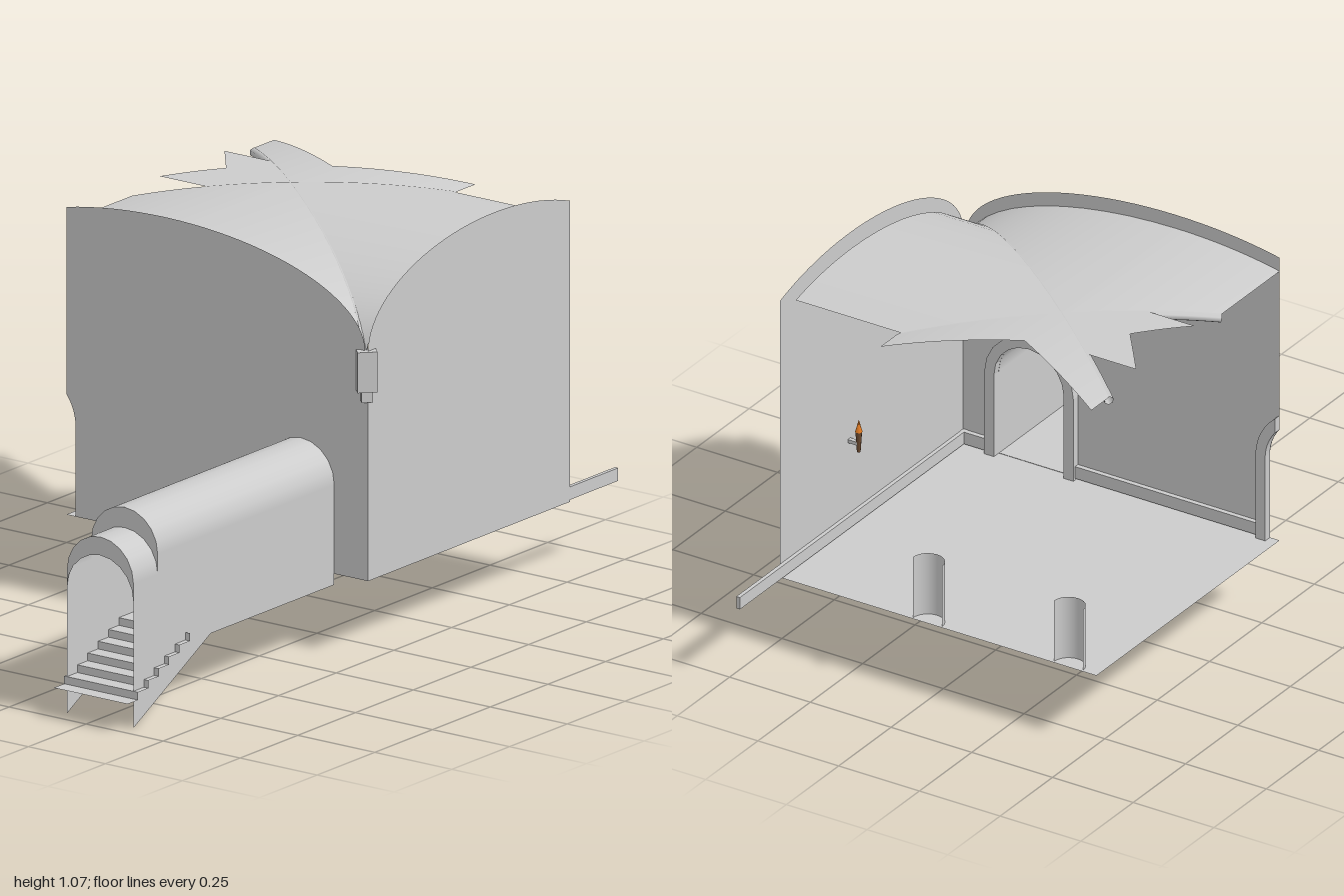
import * as THREE from 'three';

const CX = -0.18, CZ = -0.46, HX = 0.65, HZ = 0.545; // vault centre and half spans
const FLOOR = 0.205, FRONT = 0.085, BACK = -0.79, LEFT = 0.48, RIGHT = -0.5;
const grey = new THREE.MeshStandardMaterial({ color: 0xcccccc, side: THREE.DoubleSide });
const flame = new THREE.MeshStandardMaterial({ color: 0xe07a20 });
const wood = new THREE.MeshStandardMaterial({ color: 0x6b4a30 });

export function createModel() {
  const model = new THREE.Group();
  const add = (name, geo, x = 0, y = 0, z = 0, mat = grey) => {
    const mesh = new THREE.Mesh(geo, mat);
    mesh.name = name;
    mesh.position.set(x, y, z);
    model.add(mesh);
    return mesh;
  };
  const box = (name, x0, x1, y0, y1, z0, z1) =>
    add(name, new THREE.BoxGeometry(x1 - x0, y1 - y0, z1 - z0), (x0 + x1) / 2, (y0 + y1) / 2, (z0 + z1) / 2);
  const flat = (name, x0, x1, z0, z1, y) =>
    add(name, new THREE.PlaneGeometry(x1 - x0, z1 - z0).rotateX(-Math.PI / 2), (x0 + x1) / 2, y, (z0 + z1) / 2);
  const shapeOf = (pts) => new THREE.Shape(pts.map((p) => new THREE.Vector2(...p)));
  const arc = (cx, cy, rx, ry, a0, a1, n = 12) => Array.from({ length: n + 1 }, (_, i) => {
    const a = a0 + (a1 - a0) * i / n;
    return [cx + rx * Math.cos(a), cy + ry * Math.sin(a)];
  });

  // Floor
  flat('floor', RIGHT, LEFT, BACK, FRONT, FLOOR);

  // Front wall with a doorway and half of a second one at its broken edge
  const DX = 0.262, DR = 0.108, SPRING = 0.447;
  const front = shapeOf([
    [-0.47, FLOOR], [LEFT, FLOOR], [LEFT, 0.83],
    ...arc(CX, 0.83, HX, 0.243, 0, Math.PI - Math.acos(0.32 / HX), 32),
    ...arc(-0.6, 0.45, 0.13, 0.13, Math.acos(0.1 / 0.13), 0, 6),
  ]);
  front.holes.push(new THREE.Path([
    [DX + DR, FLOOR + 0.001], ...arc(DX, SPRING, DR, DR, 0, Math.PI, 10), [DX - DR, FLOOR + 0.001],
  ].map((p) => new THREE.Vector2(...p))));
  add('frontWall', new THREE.ShapeGeometry(front), 0, 0, FRONT);

  // Side wall, drawn with its first axis along -z
  const side = shapeOf([
    [-FRONT, FLOOR], [-BACK, FLOOR],
    ...arc(-CZ, 0.83, HZ, 0.243, Math.acos(0.33 / HZ), Math.PI, 32),
  ]);
  add('sideWall', new THREE.ShapeGeometry(side).rotateY(Math.PI / 2), LEFT);

  // Groin vault: each web is level across its span, so it is built of strips
  const height = (m) => 0.79 + 0.243 * Math.sqrt(Math.max(0, 1 - m * m));
  const web = (name, alongX, from, to, lo, hi) => {
    const c = alongX ? CX : CZ, h = alongX ? HX : HZ, n = 14, pos = [], idx = [];
    const a0 = Math.asin(Math.max(-1, (from - c) / h)), a1 = Math.asin(Math.min(1, (to - c) / h));
    for (let i = 0; i <= n; i++) {
      const m = Math.sin(a0 + (a1 - a0) * i / n), s = c + h * m;
      for (const t of [lo(s), hi(s)]) pos.push(alongX ? s : t, height(m), alongX ? t : s);
      const k = 2 * i;
      if (i < n) idx.push(...(alongX ? [k, k + 1, k + 2, k + 1, k + 3, k + 2] : [k, k + 2, k + 1, k + 1, k + 2, k + 3]));
    }
    const g = new THREE.BufferGeometry();
    g.setAttribute('position', new THREE.Float32BufferAttribute(pos, 3));
    g.setIndex(idx);
    g.computeVertexNormals();
    add(name, g);
  };
  const groinZ = (x, s) => CZ + s * HZ * Math.abs(x - CX) / HX;
  const groinX = (z, s) => CX + s * HX * Math.abs(z - CZ) / HZ;
  const tornBack = (x) => -0.64 - 0.18 * Math.abs(x - CX) / 0.33;
  const tornRight = (z) => -0.39 - 0.11 * Math.abs(z - CZ) / 0.14;
  for (const [a, b] of [[RIGHT, CX], [CX, CX + HX]])
    web('frontVaultWeb', true, a, b, (x) => groinZ(x, 1), () => FRONT);
  for (const [a, b] of [[RIGHT, CX], [CX, 0.15]])
    web('backVaultWeb', true, a, b, tornBack, (x) => groinZ(x, -1));
  for (const [a, b] of [[-0.73, CZ], [CZ, FRONT]])
    web('sideVaultWeb', false, a, b, (z) => groinX(z, 1), () => CX + HX);
  for (const [a, b] of [[-0.6, CZ], [CZ, -0.32]])
    web('brokenVaultWeb', false, a, b, tornRight, (z) => groinX(z, -1));

  // Diagonal ribs under the groins
  const rib = (m0, m1, dir) => {
    const pts = [];
    for (let i = 0; i <= 24; i++) {
      const m = Math.sin(Math.asin(m0) + (Math.asin(m1) - Math.asin(m0)) * i / 24);
      pts.push(new THREE.Vector3(CX + HX * m, height(m) - 0.012, CZ + dir * HZ * m));
    }
    add('vaultRib', new THREE.TubeGeometry(new THREE.CatmullRomCurve3(pts), 40, 0.013, 6));
  };
  rib(-0.49, 0.995, 1);
  rib(-0.49, 0.5, -1);

  // Door frames on the inner face of the front wall
  const frame = (name, cx, spring, r, w, endOuter, endInner) => {
    const s = shapeOf([
      [cx + r, FLOOR], [cx + r + w, FLOOR],
      ...arc(cx, spring, r + w, r + w, 0, endOuter, 10),
      ...(endOuter === Math.PI ? [[cx - r - w, FLOOR], [cx - r, FLOOR]] : []),
      ...arc(cx, spring, r, r, endInner, 0, 10),
    ]);
    add(name, new THREE.ExtrudeGeometry(s, { depth: 0.022, bevelEnabled: false }), 0, 0, FRONT - 0.023);
  };
  frame('doorFrame', DX, SPRING, DR, 0.03, Math.PI, Math.PI);
  frame('brokenDoorFrame', -0.6, 0.45, 0.13, 0.03, Math.acos(0.1 / 0.16), Math.acos(0.1 / 0.13));

  // Skirting
  box('skirting', -0.44, DX - DR - 0.03, 0.21, 0.245, FRONT - 0.015, FRONT - 0.001);
  box('skirting', DX + DR + 0.03, LEFT, 0.21, 0.245, FRONT - 0.015, FRONT - 0.001);
  box('skirting', LEFT - 0.012, LEFT - 0.001, 0.21, 0.245, -1, FRONT);

  // Broken jambs of the missing back doorway
  for (const x of [-0.41, 0.026]) add('brokenJamb',
    new THREE.CylinderGeometry(0.045, 0.045, 0.18, 12, 1, true, -Math.PI / 2, Math.PI), x, FLOOR + 0.09, BACK + 0.005);

  // Entrance tunnel: barrel roof in two levels with crescent end faces
  const barrel = (z0, z1, y) => add('tunnelRoof',
    new THREE.CylinderGeometry(DR, DR, z1 - z0, 10, 1, true, Math.PI / 2, Math.PI).rotateX(Math.PI / 2), DX, y, (z0 + z1) / 2);
  const STEP_Z = 0.85, END_Z = 0.955;
  barrel(FRONT, STEP_Z, SPRING);
  barrel(STEP_Z, END_Z, 0.392);
  for (const [z, y0, y1] of [[STEP_Z, 0.392, SPRING], [END_Z, 0.342, 0.392]])
    add('tunnelEndFace', new THREE.ShapeGeometry(shapeOf([
      ...arc(DX, y1, DR, DR, 0, Math.PI, 10), ...arc(DX, y0, DR, DR, Math.PI, 0, 10),
    ])), 0, 0, z);
  const tunnelSide = shapeOf([
    [-FRONT, 0.175], [-FRONT, SPRING], [-STEP_Z, SPRING], [-STEP_Z, 0.392],
    [-END_Z, 0.392], [-END_Z, 0], [-0.62, 0.175],
  ]);
  for (const s of [-1, 1])
    add('tunnelWall', new THREE.ShapeGeometry(tunnelSide).rotateY(Math.PI / 2), DX + s * DR);
  flat('tunnelFloor', DX - DR, DX + DR, FRONT, 0.73, FLOOR);

  // Stairs of thin risers and treads
  const RISE = 0.021, TREAD = 0.045;
  for (let i = 0; i < 6; i++) {
    const y = FLOOR - RISE * (i + 1), z = 0.73 + TREAD * i;
    add('stairRiser', new THREE.PlaneGeometry(0.24, RISE), 0.265, y + RISE / 2, z);
    flat('stairTread', 0.145, 0.385, z, z + TREAD, y);
  }

  // Corbel on the outer corner, turned to the diagonal
  add('cornerCorbel', new THREE.BoxGeometry(0.052, 0.11, 0.03), 0.474, 0.775, 0.083).rotation.y = Math.PI / 4;
  add('corbelFoot', new THREE.BoxGeometry(0.03, 0.028, 0.022), 0.474, 0.706, 0.083).rotation.y = Math.PI / 4;

  // Wall torch
  const TX = LEFT - 0.03;
  box('torchBracket', TX, LEFT, 0.455, 0.465, CZ - 0.006, CZ + 0.006);
  add('torchHandle', new THREE.CylinderGeometry(0.009, 0.005, 0.06, 8), TX, 0.465, CZ, wood);
  add('torchFlame', new THREE.ConeGeometry(0.01, 0.035, 8), TX, 0.512, CZ, flame);

  return model;
}
